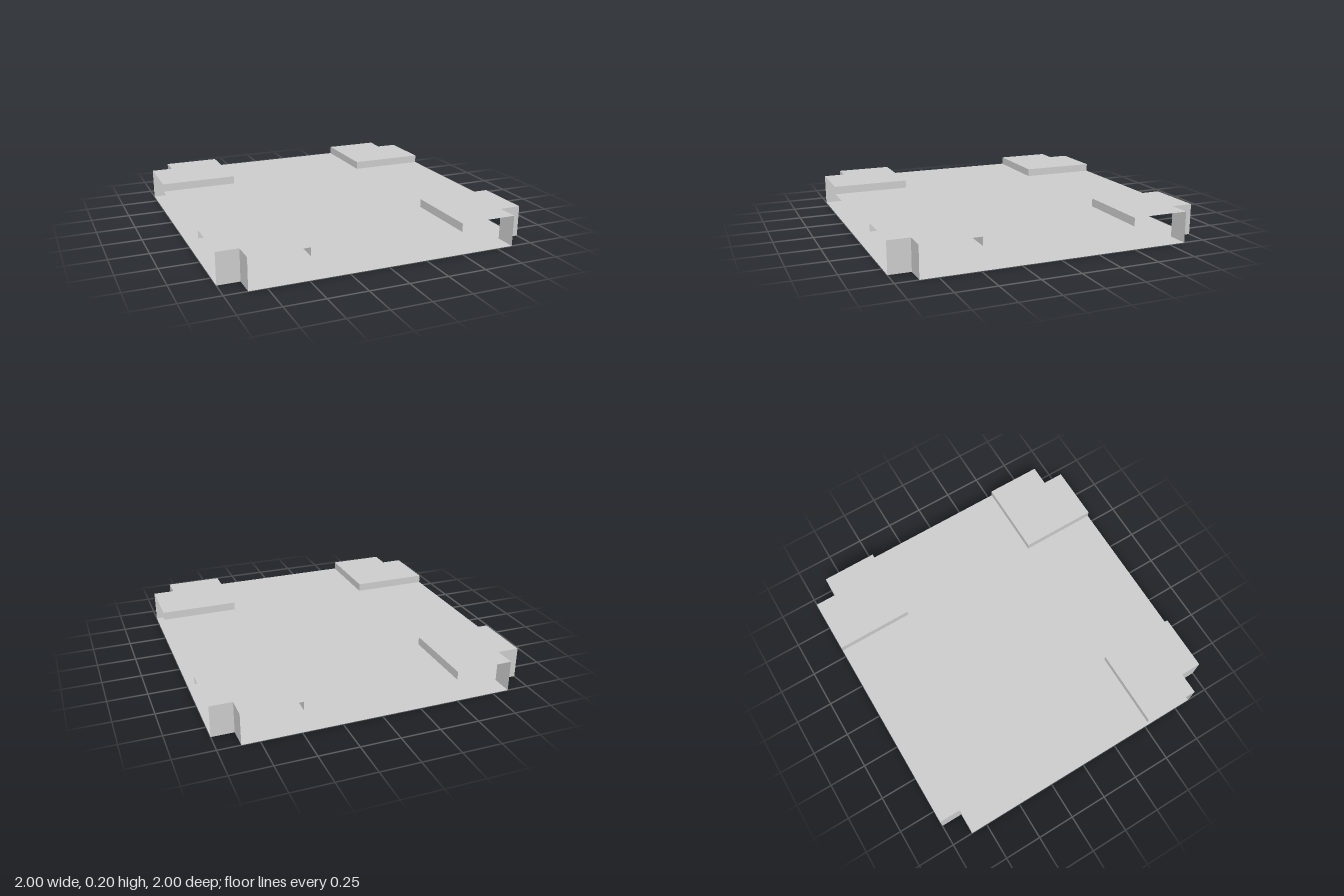
import * as THREE from 'three';

const HALF = 1;        // half the side length
const NOTCH = 0.86;    // where the corner cut-outs begin
const PAD = 0.49;      // inner edge of the raised corner pads
const FLOOR = 0.147;   // height of the cross-shaped deck
const TOP = 0.2;       // height of the corner pads

const material = new THREE.MeshStandardMaterial({ color: 0xcccccc, side: THREE.DoubleSide, flatShading: true });

function named(name, geometry) {
  const mesh = new THREE.Mesh(geometry, material);
  mesh.name = name;
  return mesh;
}

// Flat horizontal sheet from [x, z] outline points, facing up or down
function sheet(name, points, y, up = true) {
  const sign = up ? -1 : 1;
  const shape = new THREE.Shape(points.map(([x, z]) => new THREE.Vector2(x, sign * z)));
  const geometry = new THREE.ShapeGeometry(shape);
  geometry.rotateX(sign * Math.PI / 2);
  geometry.translate(0, y, 0);
  return named(name, geometry);
}

// Vertical strip standing on a line from a to b, both [x, z]
function strip(name, a, b, y0, y1) {
  const dx = b[0] - a[0], dz = b[1] - a[1];
  const geometry = new THREE.PlaneGeometry(Math.hypot(dx, dz), y1 - y0);
  geometry.rotateY(-Math.atan2(dz, dx));
  geometry.translate((a[0] + b[0]) / 2, (y0 + y1) / 2, (a[1] + b[1]) / 2);
  return named(name, geometry);
}

// Square outline with a square bite taken out of each corner
function notchedSquare(n) {
  const h = HALF;
  return [
    [n, h], [n, n], [h, n], [h, -n], [n, -n], [n, -h],
    [-n, -h], [-n, -n], [-h, -n], [-h, n], [-n, n], [-n, h],
  ];
}

// Raised pad with its two inner lips and the walls of the corner cut-out
function makeCorner() {
  const corner = new THREE.Group();
  corner.name = 'corner';
  const p = PAD, n = NOTCH, h = HALF;
  corner.add(
    sheet('cornerPad', [[p, p], [h, p], [h, n], [n, n], [n, h], [p, h]], TOP),
    strip('padLip', [p, p], [p, h], FLOOR, TOP),
    strip('padLip', [h, p], [p, p], FLOOR, TOP),
    strip('notchWall', [n, h], [n, n], 0, TOP),
    strip('notchWall', [n, n], [h, n], 0, TOP),
  );
  return corner;
}

export function createModel() {
  const model = new THREE.Group();
  model.name = 'tray';

  // Bottom panel and cross-shaped deck, open along the four sides
  model.add(sheet('bottomPanel', notchedSquare(NOTCH), 0, false));
  model.add(sheet('deck', notchedSquare(PAD), FLOOR));

  // Four identical corners
  for (let i = 0; i < 4; i++) {
    const corner = makeCorner();
    corner.rotation.y = i * Math.PI / 2;
    model.add(corner);
  }
  return model;
}
